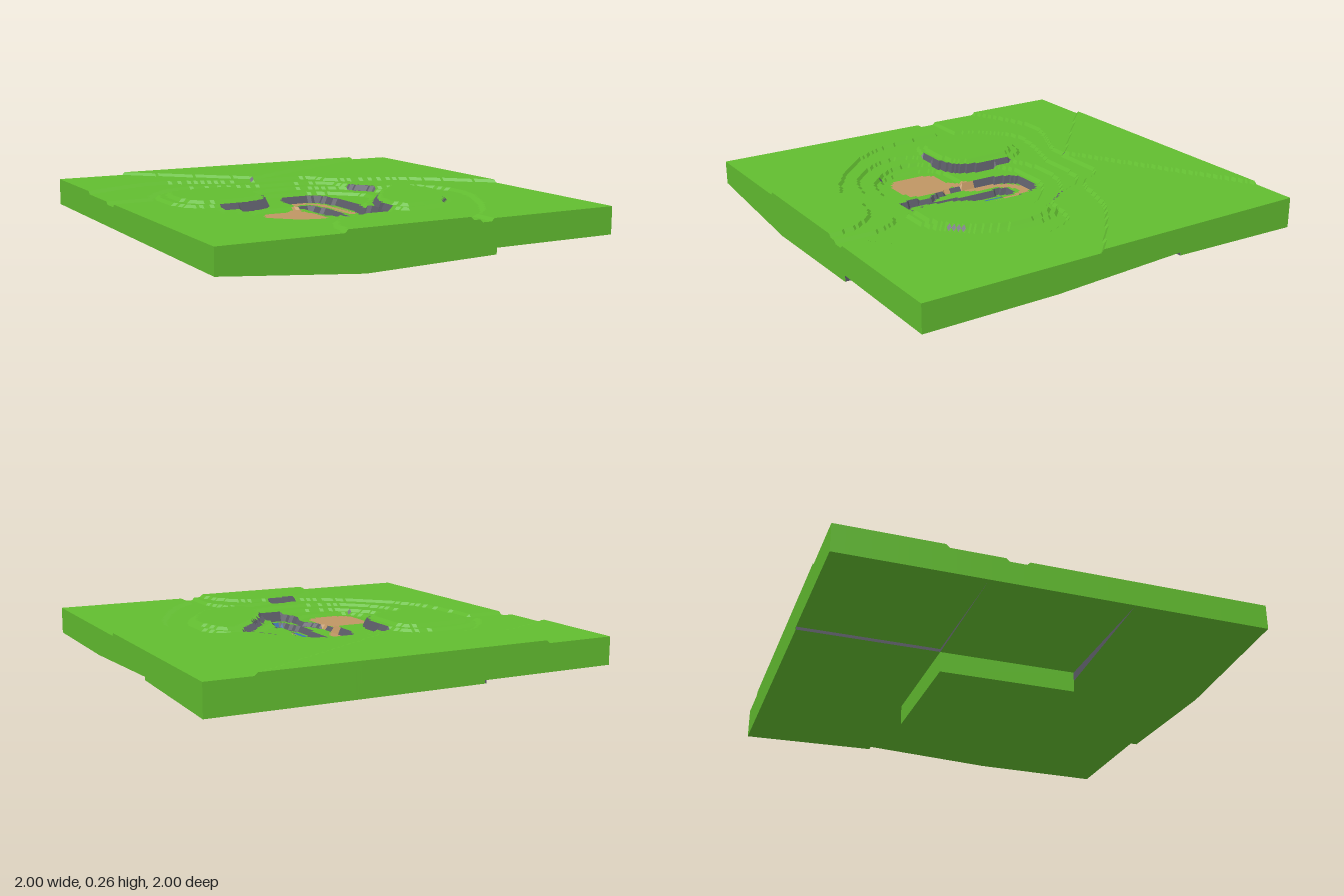
import * as THREE from 'three';

const N = 128; // terrain cells per side
const COLORS = { grass: 0x62bd30, rock: 0x5c5c68, sand: 0xc09664, water: 0x3f74b0 };

const spline = (points, closed) => new THREE.CatmullRomCurve3(
  points.map(([x, z]) => new THREE.Vector3(x, 0, z)), closed).getPoints(60);

// Closed outlines
const BASIN = spline([[-.76, -.3], [-.55, -.5], [-.1, -.4], [.2, -.36], [.36, -.08], [.6, 0], [.68, .25],
  [.5, .68], [.3, .88], [.18, .66], [-.28, .7], [-.72, .32], [-.8, -.08]], true);
const HOLLOW = spline([[-.2, -.29], [.16, -.28], [.38, -.02], [.18, .25], [.06, .56], [-.4, .55],
  [-.61, .25], [-.5, .02]], true);
const RIGHT_MESA = spline([[.14, .57], [.13, .36], [.35, .05], [.48, -.03], [.56, .2], [.48, .43],
  [.32, .57]], true);
// Open lines: edge of the back slope, sandy path, stream
const SLOPE = spline([[-1.1, -.46], [-.6, -.65], [-.2, -.51], [.2, -.47], [.27, -.34], [.6, -.21], [1.1, .2]]);
const PATH = spline([[-.22, .16], [-.13, .05], [-.1, -.1], [-.01, -.17], [.06, -.11], [.08, .2]]);
const STREAM = spline([[-.02, -.06], [-.005, .12], [-.03, .25], [.01, .42]]);

// Even-odd test of a point against a closed outline, optionally scaled about a centre
function inside(outline, x, z, scale = 1, cx = 0, cz = 0) {
  const px = cx + (x - cx) / scale, pz = cz + (z - cz) / scale;
  let hit = false;
  for (let i = 1; i < outline.length; i++) {
    const a = outline[i - 1], b = outline[i];
    if ((a.z > pz) !== (b.z > pz) && px < a.x + (b.x - a.x) * (pz - a.z) / (b.z - a.z)) hit = !hit;
  }
  return hit;
}

// Rounded square or ellipse, depending on the power
const blob = (x, z, cx, cz, rx, rz, power) =>
  Math.abs((x - cx) / rx) ** power + Math.abs((z - cz) / rz) ** power < 1;

const distance = (line, x, z) => Math.min(...line.map((p) => Math.hypot(x - p.x, z - p.z)));

// Whether a point lies behind an open line that runs from left to right
function behind(line, x, z) {
  const i = Math.max(1, line.findIndex((p) => p.x > x));
  const a = line[i - 1], b = line[i];
  return z < a.z + (b.z - a.z) * (x - a.x) / (b.x - a.x);
}

// Terraces, each painted over the one before
function groundHeight(x, z) {
  let y = 0.233;
  const terrace = (height, covers) => { if (covers) y = height; };
  // back slopes, lowland basin with its two outlets, front knoll
  terrace(.248, behind(SLOPE, x, z));
  terrace(.262, z < -.5 - (x < -.1 ? .9 * (-.1 - x) : .57 * (x + .1)));
  terrace(.219, inside(BASIN, x, z) || (x > .25 && x < .32 && z > .75) || (x < -.72 && z > -.24 && z < -.15));
  terrace(.248, blob(x, z, -.1, 1.03, .31, .33, 2.4));
  // hollow stepping down to the sand
  terrace(.205, inside(HOLLOW, x, z));
  terrace(.19, inside(HOLLOW, x, z, .82, -.1, .15));
  terrace(.176, blob(x, z, -.26, .26, .18, .17, 4));
  // mesas with a rim
  terrace(.233, blob(x, z, -.5, -.155, .24, .24, 3));
  terrace(.248, blob(x, z, -.495, -.145, .195, .195, 3.5));
  terrace(.233, inside(RIGHT_MESA, x, z));
  terrace(.248, inside(RIGHT_MESA, x, z, .9, .35, .3));
  // canyon and stream bed
  terrace(.155, blob(x, z, -.01, .06, .14, .26, 3) || blob(x, z, .015, .36, .095, .15, 4));
  terrace(.125, distance(STREAM, x, z) < .045);
  return y;
}

function groundKind(x, z, drop) {
  if (distance(STREAM, x, z) < .018 || Math.hypot(x - .01, z - .42) < .045) return 'water';
  if (blob(x, z, -.265, .27, .125, .13, 4) || distance(PATH, x, z) < .024) return 'sand';
  return drop > .02 ? 'rock' : 'grass';
}

function addMesh(group, name, positions, color) {
  const geometry = new THREE.BufferGeometry();
  geometry.setAttribute('position', new THREE.Float32BufferAttribute(positions, 3));
  geometry.computeVertexNormals();
  const material = new THREE.MeshStandardMaterial({ color, flatShading: true, side: THREE.DoubleSide });
  const mesh = new THREE.Mesh(geometry, material);
  mesh.name = name;
  group.add(mesh);
}

// Two triangles, corners counter-clockwise from outside
function quad(out, a, b, c, d) {
  out.push(...a, ...b, ...c, ...a, ...c, ...d);
}

// Underside tiles, rows from back to front: height at the back left corner, rise to the right, rise to the front
const XS = [-1, -.32, .34, 1], ZS = [-1, -.325, .345, 1];
const UNDER = [
  [[.115, 0, 0], [.1, 0, 0], [.1, 0, .015]],
  [[.115, -.015, 0], [0, 0, 0], [.13, 0, -.03]],
  [[.115, -.06, 0], [.055, .015, 0], [.1, 0, 0]],
];
function underPoint(i, j, x, z) {
  const [y, right, front] = UNDER[j][i];
  const u = (x - XS[i]) / (XS[i + 1] - XS[i]), v = (z - ZS[j]) / (ZS[j + 1] - ZS[j]);
  return [x, y + right * u + front * v, z];
}

export function createModel() {
  const group = new THREE.Group();
  group.name = 'terrain';
  const at = (i) => -1 + 2 * i / N;
  const heights = [];
  for (let j = 0; j <= N; j++) for (let i = 0; i <= N; i++) heights.push(groundHeight(at(i), at(j)));
  const point = (i, j) => [at(i), heights[j * (N + 1) + i], at(j)];

  // Ground surface sorted by kind
  const kinds = { grass: [], rock: [], sand: [], water: [] };
  for (let j = 0; j < N; j++) for (let i = 0; i < N; i++) {
    const c = [point(i, j), point(i, j + 1), point(i + 1, j + 1), point(i + 1, j)];
    const ys = c.map((p) => p[1]);
    const drop = Math.max(...ys) - Math.min(...ys);
    quad(kinds[groundKind(at(i + .5), at(j + .5), drop)], ...c);
  }
  for (const kind in kinds) addMesh(group, kind + 'Ground', kinds[kind], COLORS[kind]);

  // Outer walls from the ground edge down to the underside
  const walls = [];
  const tile = (list, v) => (v < list[1] ? 0 : v < list[2] ? 1 : 2);
  const wall = (p, q, i, j) =>
    quad(walls, p, underPoint(i, j, p[0], p[2]), underPoint(i, j, q[0], q[2]), q);
  for (let k = 0; k < N; k++) {
    const i = tile(XS, at(k + .5)), j = tile(ZS, at(k + .5));
    wall(point(k, N), point(k + 1, N), i, 2);
    wall(point(k + 1, 0), point(k, 0), i, 0);
    wall(point(N, k + 1), point(N, k), 2, j);
    wall(point(0, k), point(0, k + 1), 0, j);
  }
  addMesh(group, 'outerWalls', walls, COLORS.grass);

  // Underside tiles and the steps between neighbours; the centre tile is the foot
  const under = [], steps = [], foot = [];
  for (let j = 0; j < 3; j++) for (let i = 0; i < 3; i++) {
    const corner = (ti, tj, a, b) => underPoint(ti, tj, XS[a], ZS[b]);
    const own = (a, b) => corner(i, j, a, b);
    quad(under, own(i, j), own(i + 1, j), own(i + 1, j + 1), own(i, j + 1));
    if (i < 2) quad(j === 1 ? foot : steps, own(i + 1, j + 1), own(i + 1, j),
      corner(i + 1, j, i + 1, j), corner(i + 1, j, i + 1, j + 1));
    if (j < 2) quad(i === 1 ? foot : steps, own(i, j + 1), own(i + 1, j + 1),
      corner(i, j + 1, i + 1, j + 1), corner(i, j + 1, i, j + 1));
  }
  addMesh(group, 'underside', under, COLORS.grass);
  addMesh(group, 'undersideSteps', steps, COLORS.rock);
  addMesh(group, 'footSides', foot, COLORS.grass);
  return group;
}
